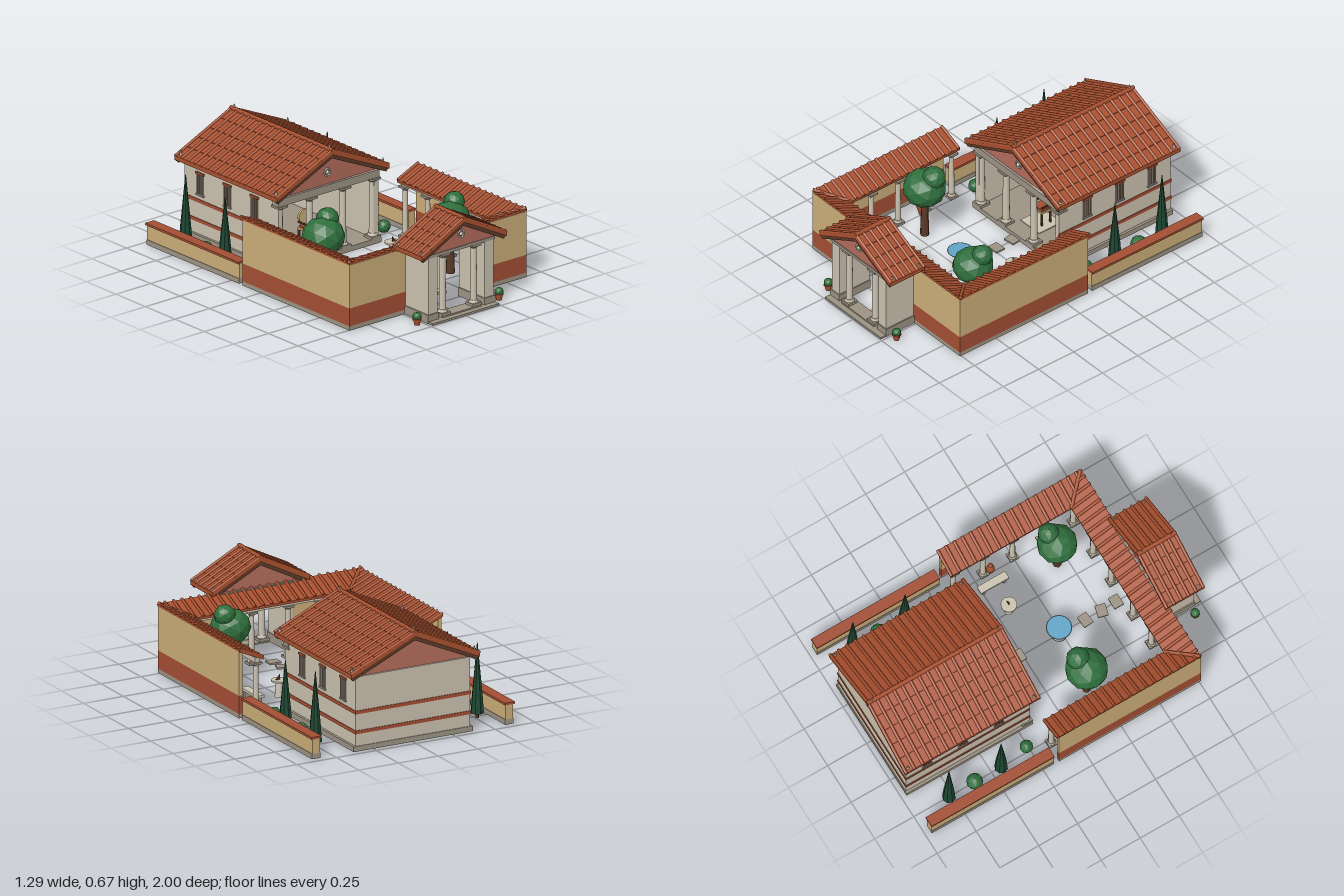
import * as THREE from 'three';
import { ConvexGeometry } from 'three/addons/geometries/ConvexGeometry.js';

const mat = (name, color, flatShading = false) => {
  const m = new THREE.MeshStandardMaterial({ color, flatShading });
  m.name = name;
  return m;
};
const V = (x, y, z) => new THREE.Vector3(x, y, z);

export function createModel() {
  const tile = mat('terracotta', 0xa9502f);
  const wood = mat('dark wood', 0x5a3a28);
  const plaster = mat('plaster', 0xcbc2b0);
  const ochre = mat('ochre plaster', 0xcbad79);
  const red = mat('red plaster', 0xa34e34);
  const stone = mat('stone', 0x9c9384);
  const pink = mat('pediment pink', 0xb26c5c);
  const leaf = mat('leaf green', 0x2f6f3d, true);
  const cypress = mat('cypress green', 0x1d4632, true);
  const water = mat('water', 0x62a4c8);

  const model = new THREE.Group();
  const section = (name) => {
    const g = new THREE.Group();
    g.name = name;
    model.add(g);
    return g;
  };
  const put = (g, name, geo, m, x = 0, y = 0, z = 0) => {
    const mesh = new THREE.Mesh(geo, m);
    mesh.name = name;
    mesh.position.set(x, y, z);
    g.add(mesh);
    return mesh;
  };
  // Box given by its extents on each axis
  const box = (g, name, m, x0, x1, y0, y1, z0, z1) =>
    put(g, name, new THREE.BoxGeometry(Math.abs(x1 - x0), y1 - y0, Math.abs(z1 - z0)), m,
      (x0 + x1) / 2, (y0 + y1) / 2, (z0 + z1) / 2);
  const cyl = (g, name, m, r1, r0, y0, y1, x, z, n = 12) =>
    put(g, name, new THREE.CylinderGeometry(r1, r0, y1 - y0, n), m, x, (y0 + y1) / 2, z);
  const rod = (g, name, m, a, b, r, n = 6) => {
    const d = b.clone().sub(a);
    const mesh = put(g, name, new THREE.CylinderGeometry(r, r, d.length(), n), m);
    mesh.position.copy(a).add(b).multiplyScalar(0.5);
    mesh.quaternion.setFromUnitVectors(V(0, 1, 0), d.normalize());
  };
  // Outline in x and y, extruded from z0 to z1
  const prism = (g, name, m, pts, z0, z1) => {
    const shape = new THREE.Shape(pts.map(([x, y]) => new THREE.Vector2(x, y)));
    const geo = new THREE.ExtrudeGeometry(shape, { depth: z1 - z0, bevelEnabled: false });
    return put(g, name, geo, m, 0, 0, z0);
  };
  const column = (g, x, z, y0, y1, r) => {
    box(g, 'columnPlinth', stone, x - r * 1.6, x + r * 1.6, y0, y0 + 0.015, z - r * 1.6, z + r * 1.6);
    cyl(g, 'columnBase', plaster, r * 1.15, r * 1.4, y0 + 0.015, y0 + 0.03, x, z);
    cyl(g, 'columnShaft', plaster, r * 0.85, r, y0 + 0.03, y1 - 0.025, x, z);
    cyl(g, 'columnNeck', plaster, r * 1.4, r * 0.9, y1 - 0.025, y1 - 0.012, x, z);
    box(g, 'columnCapital', stone, x - r * 1.6, x + r * 1.6, y1 - 0.012, y1, z - r * 1.6, z + r * 1.6);
  };

  // Gabled roof: stepped tile courses, ribs, ridge, verge boards and finials
  const gable = (g, w, eave, ridge, z0, z1, ribs, courses) => {
    const h = ridge - eave;
    for (const s of [-1, 1]) {
      const pts = [[0, ridge - 0.022], [0, ridge]];
      for (let i = 1; i <= courses; i++) {
        const t = i / courses;
        pts.push([s * w * t, ridge - h * t + 0.004], [s * w * t, ridge - h * t]);
      }
      pts.push([s * w, eave - 0.022]);
      prism(g, 'roofSlope', tile, pts, z0, z1);
      for (let i = 0; i <= ribs; i++) {
        const z = z0 + 0.008 + (z1 - z0 - 0.016) * i / ribs;
        rod(g, 'coverTile', tile, V(0, ridge + 0.003, z), V(s * (w + 0.002), eave + 0.003, z), 0.009);
      }
      for (const z of [z0 + 0.008, z1 - 0.02]) {
        prism(g, 'vergeBoard', wood, [[0, ridge - 0.022], [s * w, eave - 0.022],
          [s * (w - 0.015), eave - 0.037], [0, ridge - 0.045]], z, z + 0.012);
      }
    }
    rod(g, 'ridgeTile', tile, V(0, ridge + 0.003, z0), V(0, ridge + 0.003, z1), 0.013, 8);
    for (const z of [z0 + 0.03, z1 - 0.03]) {
      for (const [x, y] of [[0, ridge], [w - 0.02, eave + 0.005], [0.02 - w, eave + 0.005]]) {
        cyl(g, 'finial', plaster, 0.002, 0.011, y, y + (w > 0.35 ? 0.035 : 0.02), x, z, 6);
      }
    }
  };
  const pediment = (g, w, y0, y1, z0, z1) =>
    prism(g, 'pediment', pink, [[-w, y0], [w, y0], [0, y1]], z0, z1);
  const medallion = (g, y, z) => {
    put(g, 'medallionRing', new THREE.TorusGeometry(0.021, 0.005, 6, 20), plaster, 0, y, z);
    put(g, 'medallionBoss', new THREE.SphereGeometry(0.011, 10, 8), plaster, 0, y, z);
  };

  // Main house: open at the front, three plaster walls
  const house = section('house');
  box(house, 'houseBase', stone, -0.375, 0.375, 0, 0.03, -0.97, -0.16);
  box(house, 'backWall', plaster, -0.36, 0.36, 0.03, 0.42, -0.965, -0.935);
  box(house, 'backUpperBand', red, -0.364, 0.364, 0.215, 0.235, -0.969, -0.96);
  box(house, 'backLowerBand', red, -0.364, 0.364, 0.1, 0.12, -0.969, -0.96);
  box(house, 'ceiling', plaster, -0.36, 0.36, 0.415, 0.43, -0.965, -0.17);
  box(house, 'entablature', stone, -0.365, 0.365, 0.385, 0.43, -0.215, -0.165);
  for (const s of [-1, 1]) {
    box(house, 'sideWall', plaster, s * 0.33, s * 0.36, 0.03, 0.42, -0.965, -0.17);
    box(house, 'upperBand', red, s * 0.355, s * 0.364, 0.215, 0.235, -0.965, -0.17);
    box(house, 'lowerBand', red, s * 0.355, s * 0.364, 0.1, 0.12, -0.965, -0.17);
    for (const z of [-0.37, -0.6, -0.83]) {
      box(house, 'windowOpening', wood, s * 0.356, s * 0.363, 0.265, 0.385, z - 0.025, z + 0.025);
      box(house, 'windowLintel', red, s * 0.36, s * 0.37, 0.383, 0.395, z - 0.034, z + 0.034);
      box(house, 'windowSill', stone, s * 0.36, s * 0.37, 0.257, 0.267, z - 0.032, z + 0.032);
      for (let i = -2; i <= 2; i++) {
        box(house, 'windowBar', stone, s * 0.36, s * 0.367, 0.265, 0.385, z + i * 0.012 - 0.0025, z + i * 0.012 + 0.0025);
      }
    }
    for (const x of [0.12, 0.335]) column(house, s * x, -0.19, 0.03, 0.385, 0.021);
  }
  pediment(house, 0.37, 0.43, 0.615, -0.955, -0.935);
  pediment(house, 0.37, 0.43, 0.615, -0.2, -0.18);
  medallion(house, 0.5, -0.178);
  gable(house, 0.405, 0.455, 0.637, -0.998, -0.13, 16, 5);

  // Seat of honour inside the hall
  const seat = section('roundBackedSeat');
  box(seat, 'rug', plaster, -0.08, 0.08, 0.03, 0.036, -0.42, -0.26);
  box(seat, 'seatBoard', ochre, -0.042, 0.042, 0.115, 0.128, -0.38, -0.31);
  box(seat, 'cushion', red, -0.038, 0.038, 0.128, 0.14, -0.375, -0.315);
  cyl(seat, 'roundBack', ochre, 0.042, 0.042, -0.007, 0.007, 0, -0.375, 24).rotation.x = Math.PI / 2;
  seat.children.at(-1).position.y = 0.185;
  for (const s of [-1, 1]) {
    for (const z of [-0.375, -0.315]) box(seat, 'seatLeg', wood, s * 0.032, s * 0.042, 0.036, 0.115, z - 0.005, z + 0.005);
    box(seat, 'armRest', wood, s * 0.036, s * 0.045, 0.155, 0.163, -0.38, -0.31);
  }

  // Courtyard walls, the same painted bands inside and out
  const court = section('courtyard');
  const bandedWall = (x0, x1, z0, z1) => {
    box(court, 'wallFooting', stone, x0, x1, 0, 0.025, z0, z1);
    box(court, 'wallRedBand', red, x0, x1, 0.025, 0.13, z0, z1);
    box(court, 'wallOchre', ochre, x0, x1, 0.13, 0.385, z0, z1);
  };
  // Lean-to roof from corners given as outer and inner edges
  const leanTo = (corners) => put(court, 'walkRoof', new ConvexGeometry(
    corners.flatMap(p => [p, p.clone().add(V(0, -0.014, 0))])), tile);
  const hi = 0.4, lo = 0.335;
  for (const s of [-1, 1]) {
    bandedWall(s * 0.615, s * 0.637, -0.15, 0.76);
    bandedWall(s * 0.2, s * 0.615, 0.738, 0.76);
    leanTo([V(s * 0.64, hi, -0.165), V(s * 0.64, hi, 0.76), V(s * 0.49, lo, 0.61), V(s * 0.49, lo, -0.165)]);
    for (let i = 0; i <= 17; i++) {
      const z = -0.158 + i * 0.052;
      const x = Math.max(0.49, z - 0.12);
      rod(court, 'walkCoverTile', tile, V(s * 0.64, hi + 0.003, z),
        V(s * x, lo + (x - 0.49) / 0.15 * (hi - lo) + 0.003, z), 0.009);
    }
    rod(court, 'hipTile', tile, V(s * 0.638, hi + 0.004, 0.758), V(s * 0.49, lo + 0.004, 0.61), 0.011);
    box(court, 'walkBeam', plaster, s * 0.505, s * 0.535, 0.305, 0.333, -0.15, 0.655);
    for (const z of [-0.13, 0.06, 0.25, 0.44, 0.64]) column(court, s * 0.52, z, 0, 0.305, 0.017);
    for (const x of [0.31, 0.115]) column(court, s * x, 0.64, 0, 0.305, 0.017);
    // Storage jars beside the walk
    const jar = [[0, 0], [0.01, 0], [0.024, 0.05], [0.022, 0.075], [0.009, 0.092], [0.009, 0.105], [0.014, 0.112], [0, 0.112]];
    put(court, 'amphora', new THREE.LatheGeometry(jar.map(p => new THREE.Vector2(...p)), 12), tile, s * 0.505, 0, 0.1);
  }
  leanTo([V(-0.64, hi, 0.76), V(0.64, hi, 0.76), V(0.49, lo, 0.61), V(-0.49, lo, 0.61)]);
  box(court, 'frontWalkBeam', plaster, -0.535, 0.535, 0.305, 0.333, 0.625, 0.655);
  for (let i = -11; i <= 11; i++) {
    const x = i * 0.054, z = Math.max(0.61, Math.abs(x) + 0.12);
    rod(court, 'walkCoverTile', tile, V(x, hi + 0.003, 0.762),
      V(x, lo + (z - 0.61) / 0.15 * (hi - lo) + 0.003, z), 0.009);
  }

  // Gatehouse
  const gate = section('gatehouse');
  for (const s of [-1, 1]) {
    box(gate, 'gatePier', plaster, s * 0.17, s * 0.235, 0.05, 0.385, 0.74, 0.955);
    box(gate, 'gatePierFoot', stone, s * 0.163, s * 0.242, 0, 0.05, 0.738, 0.962);
    column(gate, s * 0.112, 0.93, 0.02, 0.38, 0.02);
  }
  box(gate, 'gateStep', stone, -0.24, 0.24, 0, 0.012, 0.93, 0.998);
  box(gate, 'gateTopStep', stone, -0.14, 0.14, 0.012, 0.02, 0.89, 0.965);
  for (const z of [0.74, 0.895]) box(gate, 'gateBeam', stone, -0.24, 0.24, 0.38, 0.398, z, z + 0.065);
  pediment(gate, 0.27, 0.395, 0.54, 0.93, 0.955);
  pediment(gate, 0.27, 0.395, 0.54, 0.755, 0.775);
  medallion(gate, 0.47, 0.957);
  gable(gate, 0.305, 0.412, 0.567, 0.735, 0.985, 5, 4);

  // Low garden walls, planting and potted shrubs
  const garden = section('garden');
  const ball = (name, m, r, x, y, z, sy = 1) =>
    put(garden, name, new THREE.IcosahedronGeometry(r, 1), m, x, y, z).scale.set(1, sy, 1);
  for (const s of [-1, 1]) {
    box(garden, 'lowWallFooting', stone, s * 0.582, s * 0.635, 0, 0.03, -0.965, -0.18);
    box(garden, 'lowWall', ochre, s * 0.585, s * 0.632, 0.03, 0.115, -0.965, -0.18);
    box(garden, 'lowWallCap', red, s * 0.577, s * 0.64, 0.115, 0.128, -0.97, -0.18);
    for (const [z, top] of [[-0.445, 0.4], [-0.78, 0.435]]) {
      cyl(garden, 'cypressTrunk', wood, 0.009, 0.009, 0, 0.04, s * 0.51, z, 6);
      cyl(garden, 'cypressLower', cypress, 0.03, 0.038, 0.03, 0.14, s * 0.51, z, 8);
      cyl(garden, 'cypressUpper', cypress, 0.002, 0.03, 0.14, top, s * 0.51, z, 8);
    }
    ball('bush', leaf, 0.047, s * 0.51, 0.045, -0.615);
    ball('smallBush', leaf, 0.038, s * 0.48, 0.037, -0.265);
    cyl(garden, 'pot', tile, 0.023, 0.016, 0, 0.038, s * 0.295, 0.93, 10);
    cyl(garden, 'potRim', tile, 0.026, 0.026, 0.03, 0.038, s * 0.295, 0.93, 10);
    ball('potShrub', leaf, 0.026, s * 0.295, 0.05, 0.93, 0.9);
  }
  for (const [x, z, r, y, dx, dz, r2] of [[-0.35, 0.2, 0.122, 0.32, 0.05, -0.025, 0.066],
    [0.36, 0.44, 0.115, 0.315, 0.05, -0.025, 0.06]]) {
    cyl(garden, 'treeTrunk', wood, 0.016, 0.026, 0, y, x, z, 7);
    ball('treeCrown', leaf, r, x, y, z, 0.9);
    ball('treeCrownTop', leaf, r2, x + dx, y + 0.083, z + dz);
  }

  // Fountain, sundial, benches and stepping stones
  const yard = section('courtyardFurnishings');
  const bowl = [[0, 0], [0.045, 0], [0.045, 0.015], [0.016, 0.025], [0.014, 0.075], [0.05, 0.088], [0.072, 0.108], [0.066, 0.108], [0.05, 0.098], [0, 0.098]];
  put(yard, 'fountainBowl', new THREE.LatheGeometry(bowl.map(p => new THREE.Vector2(...p)), 24), stone, 0, 0, 0.235);
  cyl(yard, 'fountainWater', water, 0.069, 0.064, 0.104, 0.109, 0, 0.235, 24);
  cyl(yard, 'sundialPost', plaster, 0.018, 0.026, 0, 0.09, 0.26, 0.07);
  cyl(yard, 'sundialDial', plaster, 0.045, 0.045, 0.09, 0.1, 0.26, 0.07, 20);
  prism(yard, 'sundialPointer', wood, [[-0.003, 0], [0.022, 0], [-0.003, 0.03]], 0.068, 0.073).position.set(0.26, 0.1, 0.068);
  for (const [x, z] of [[0.428, 0.07], [-0.43, 0.46]]) {
    box(yard, 'benchSeat', plaster, x - 0.023, x + 0.023, 0.045, 0.06, z - 0.09, z + 0.09);
    for (const d of [-0.065, 0.065]) box(yard, 'benchFoot', stone, x - 0.018, x + 0.018, 0, 0.045, z + d - 0.01, z + d + 0.01);
  }
  for (const [x, z, a] of [[0, -0.135, 0.12], [0.003, -0.02, 0], [-0.005, 0.4, 0.08], [-0.005, 0.505, -0.25], [0, 0.6, 0]]) {
    box(yard, 'steppingStone', stone, x - 0.036, x + 0.036, 0, 0.01, z - 0.03, z + 0.03).rotation.y = a;
  }
  return model;
}
